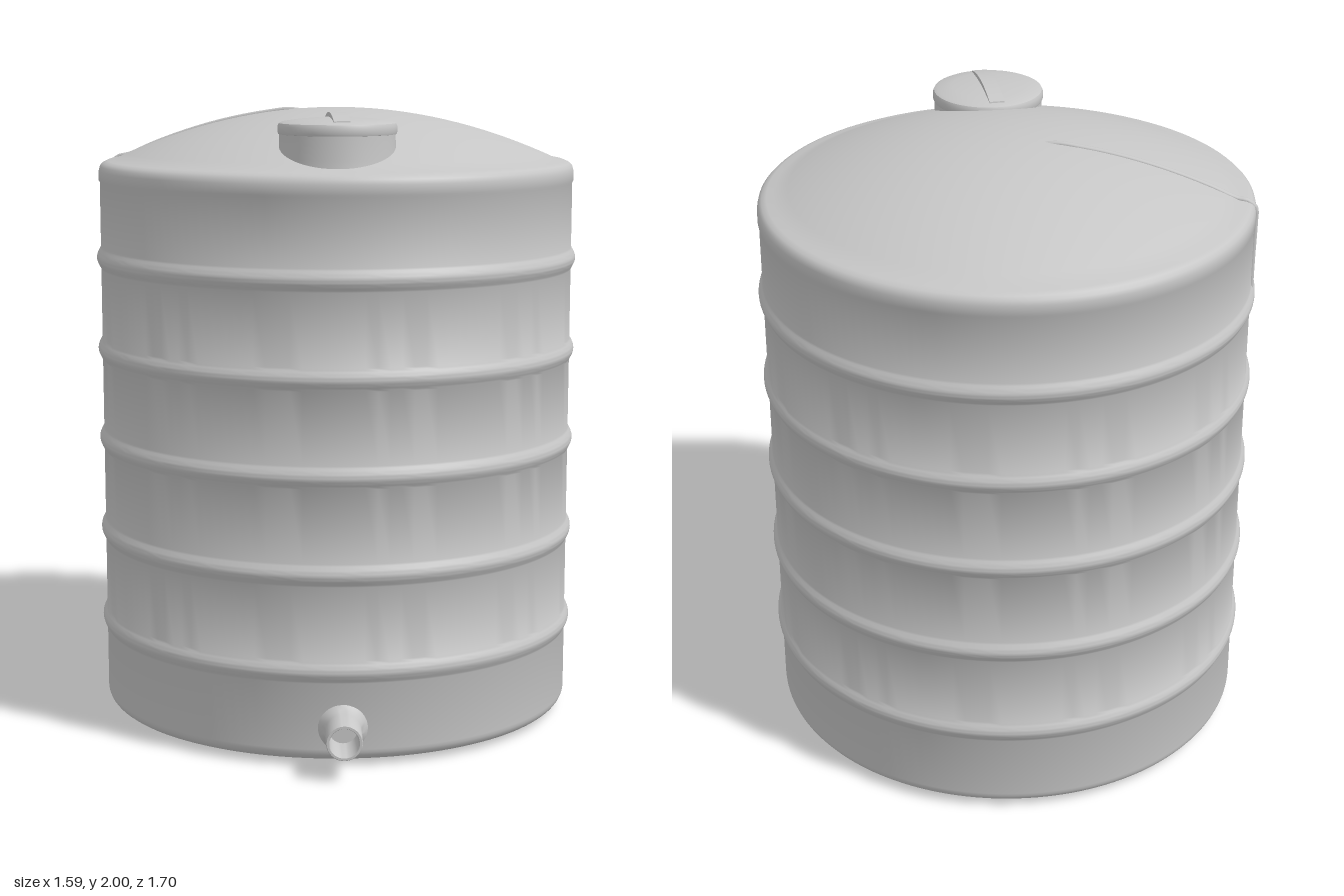
import * as THREE from 'three';
import { toCreasedNormals } from 'three/addons/utils/BufferGeometryUtils.js';

const V2 = (x, y) => new THREE.Vector2(x, y);
const V3 = (x, y, z) => new THREE.Vector3(x, y, z);

const WALL = 0.779;
const BASE = 0.012;
const domeY = (r) => 1.997 - 0.172 * (r / 0.74) ** 2;

export function createModel() {
  const model = new THREE.Group();
  model.name = 'waterTank';
  const grey = new THREE.MeshStandardMaterial({ color: 0xc6c6c6 });
  grey.name = 'grey plastic';

  const add = (name, geometry, parent) => {
    const mesh = new THREE.Mesh(geometry, grey);
    mesh.name = name;
    parent.add(mesh);
    return mesh;
  };
  const lathe = (pairs, segments, crease = 0.6) =>
    toCreasedNormals(new THREE.LatheGeometry(pairs.map((p) => V2(...p)), segments), crease);

  // Everything is laid out around the tank axis, which sits slightly behind the origin
  const tank = new THREE.Group();
  tank.name = 'tank';
  tank.position.z = -0.06;
  model.add(tank);

  // Body profile: flat base, rounded foot, ribbed wall, shoulder and dome
  const profile = [[0, BASE], [0.4, BASE], [0.735, BASE]];
  for (let i = 1; i <= 6; i++) {
    const a = (i / 6) * Math.PI / 2;
    profile.push([0.739 + 0.04 * Math.sin(a), BASE + 0.04 - 0.04 * Math.cos(a)]);
  }
  for (const y of [0.3, 0.605, 0.91, 1.21, 1.51]) {
    for (let i = -6; i <= 6; i++) {
      const t = i / 6;
      profile.push([WALL + 0.014 * Math.cos(t * Math.PI / 2) ** 1.2, y + t * 0.036]);
    }
  }
  profile.push([WALL, 1.757], [WALL + 0.004, 1.764], [WALL + 0.003, 1.795],
    [0.778, 1.81], [0.768, 1.82], [0.752, 1.827]);
  for (let i = 0; i <= 16; i++) {
    const r = 0.73 * (1 - i / 16);
    profile.push([r, domeY(r)]);
  }
  add('body', lathe(profile, 128, 0.9), tank);

  // Moulding seam over the dome and upper wall, and another under the base
  const seam = (name, points, radius) => add(name,
    new THREE.TubeGeometry(new THREE.CatmullRomCurve3(points), 60, radius, 10), tank);
  const domeSeam = [V3(-0.1, domeY(0.1) - 0.014, -0.005)];
  for (let r = 0.16; r < 0.74; r += 0.08) domeSeam.push(V3(-r, domeY(r) - 0.001, -0.005));
  domeSeam.push(V3(-0.755, 1.826, -0.005), V3(-0.779, 1.805, -0.005),
    V3(-0.781, 1.76, -0.005), V3(-0.779, 1.64, -0.005), V3(-0.778, 1.5, -0.005));
  seam('domeSeam', domeSeam, 0.009);
  seam('baseSeam', [V3(0, BASE + 0.009, 0), V3(-0.2, BASE, 0), V3(-0.5, BASE - 0.002, 0),
    V3(-0.73, BASE, 0), V3(-0.765, 0.035, 0)], 0.01);

  // Filler neck with a flared foot, and its screw lid
  const hatch = new THREE.Group();
  hatch.name = 'hatch';
  hatch.position.set(0.124, 0, 0.515);
  hatch.rotation.y = 0.32;
  tank.add(hatch);
  add('neck', lathe([[0.19, 1.79], [0.184, 1.83], [0.18, 1.86], [0.178, 1.935]], 64), hatch);
  add('lid', lathe([[0.17, 1.932], [0.181, 1.934], [0.183, 1.94], [0.183, 1.958],
    [0.179, 1.967], [0.168, 1.972], [0.12, 1.979], [0.06, 1.984], [0, 1.986]], 64), hatch);

  // Grip bar arched across the lid
  const grip = new THREE.Shape();
  grip.moveTo(-0.158, 1.962);
  grip.lineTo(0.158, 1.962);
  grip.lineTo(0.155, 1.978);
  grip.quadraticCurveTo(0, 2.022, -0.155, 1.978);
  grip.closePath();
  const gripGeo = new THREE.ExtrudeGeometry(grip, { depth: 0.05, bevelEnabled: false, curveSegments: 16 });
  gripGeo.translate(0, 0, -0.025);
  gripGeo.rotateY(Math.PI / 2);
  add('lidGrip', toCreasedNormals(gripGeo, 0.6), hatch);

  // Hollow outlet pipe, pointing straight out from the tank wall
  const outlet = new THREE.Group();
  outlet.name = 'outlet';
  outlet.position.y = 0.122;
  outlet.rotation.y = Math.atan2(0.235, 0.895);
  tank.add(outlet);
  const pipe = lathe([[0.085, 0.765], [0.072, 0.782], [0.062, 0.795], [0.057, 0.815], [0.056, 0.923],
    [0.054, 0.926], [0.047, 0.926], [0.045, 0.922], [0.045, 0.79], [0, 0.79]], 40);
  pipe.rotateX(Math.PI / 2);
  add('outletPipe', pipe, outlet);

  return model;
}
